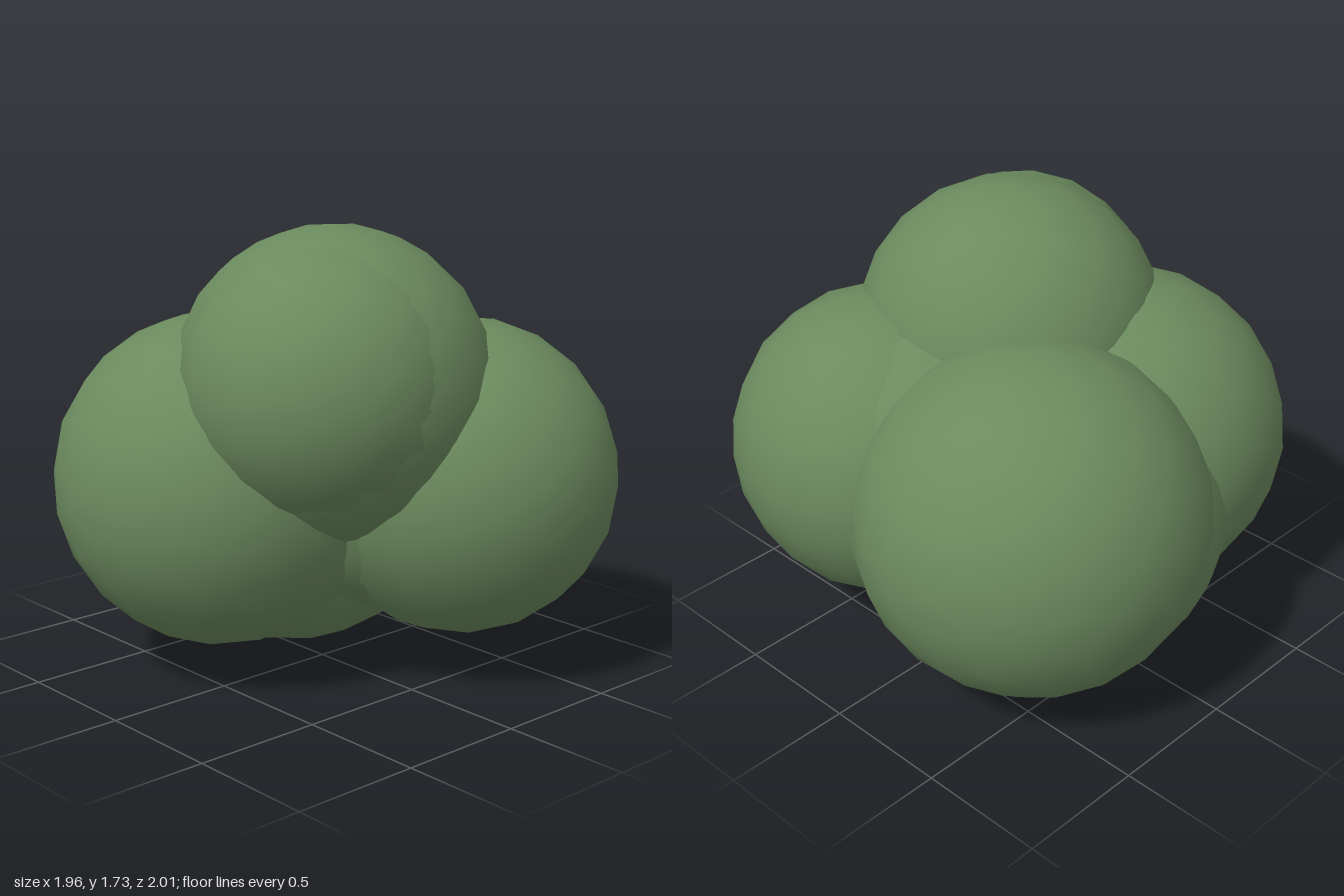
import * as THREE from 'three';

// Each clump of foliage: a main ball and, for most, a smaller one merged into it.
// name, x, y, z, radius
const CLUMPS = [
  ['frontLeftClump', 0.34, 0.76, 0.40, 0.605],
  ['frontLeftInnerClump', 0.25, 0.78, 0.22, 0.575],
  ['backLeftClump', 0.31, 0.725, -0.335, 0.67],
  ['backLeftLowerClump', 0.10, 0.625, -0.29, 0.625],
  ['rightClump', -0.345, 0.755, -0.19, 0.637],
  ['topClump', -0.12, 1.14, 0.19, 0.595],
  ['topRightClump', -0.23, 1.17, 0.255, 0.525],
];

export function createModel() {
  const bush = new THREE.Group();
  bush.name = 'bush';
  const leaves = new THREE.MeshStandardMaterial({ color: 0x6b8a5e });

  CLUMPS.forEach(([name, x, y, z, radius], i) => {
    // coarse ball with smooth normals, turned so the facets differ
    const clump = new THREE.Mesh(new THREE.IcosahedronGeometry(radius, 3), leaves);
    clump.name = name;
    clump.position.set(x, y, z);
    clump.rotation.set(i * 0.7, i * 1.3, i * 0.4);
    bush.add(clump);
  });

  return bush;
}
